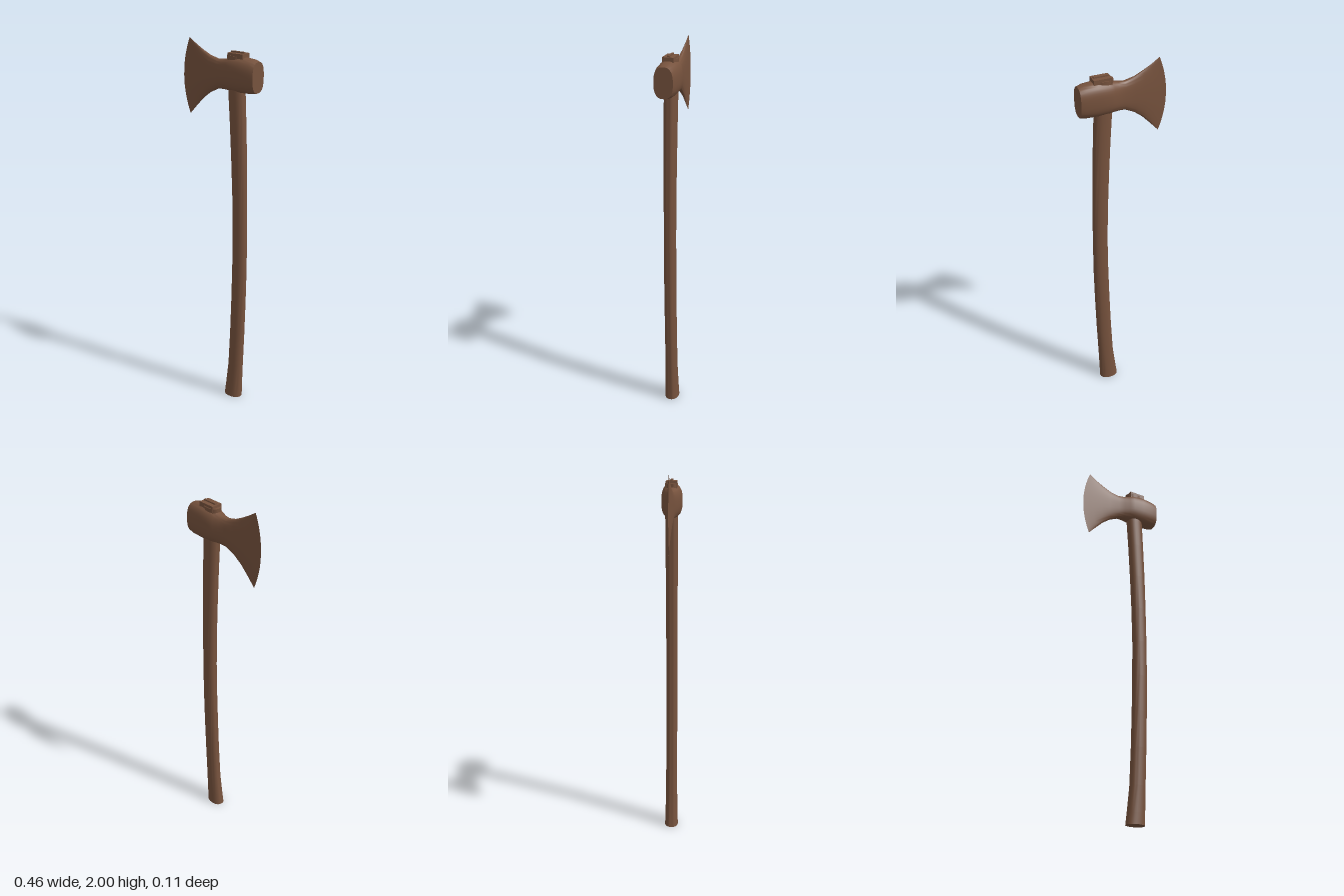
import * as THREE from 'three';
import { toCreasedNormals } from 'three/addons/utils/BufferGeometryUtils.js';

// Skin a list of closed rings and cap both ends.
function loft(rings) {
  const n = rings[0].length, pos = rings.flat(2), idx = [];
  const last = rings.length - 1;
  for (let i = 0; i < last; i++) {
    for (let j = 0; j < n; j++) {
      const k = (j + 1) % n, a = i * n + j, b = i * n + k;
      idx.push(a, a + n, b, b, a + n, b + n);
    }
  }
  for (const [r, flip] of [[0, false], [last, true]]) {
    const c = [0, 1, 2].map(d => rings[r].reduce((s, p) => s + p[d], 0) / n);
    const ci = pos.length / 3;
    pos.push(...c);
    for (let j = 0; j < n; j++) {
      const a = r * n + j, b = r * n + (j + 1) % n;
      idx.push(ci, flip ? b : a, flip ? a : b);
    }
  }
  const g = new THREE.BufferGeometry();
  g.setAttribute('position', new THREE.Float32BufferAttribute(pos, 3));
  g.setIndex(idx);
  return toCreasedNormals(g, 0.7);
}

// Points (u, v) of a unit superellipse.
function superellipse(count, power) {
  const f = v => Math.sign(v) * Math.abs(v) ** (2 / power);
  return Array.from({ length: count }, (_, i) => {
    const a = i / count * Math.PI * 2;
    return [f(Math.cos(a)), f(Math.sin(a))];
  });
}

export function createModel() {
  const group = new THREE.Group();
  const brown = new THREE.MeshStandardMaterial({ color: 0x76523d });
  brown.name = 'brown';
  const add = (name, geometry) => {
    const mesh = new THREE.Mesh(geometry, brown);
    mesh.name = name;
    group.add(mesh);
    return mesh;
  };

  // Curved handle: y, left x, right x, half depth
  const oval = superellipse(28, 2.2);
  const handle = [
    [0, 0.042, 0.146, 0.037], [0.06, 0.05, 0.147, 0.035], [0.2, 0.066, 0.152, 0.032],
    [0.4, 0.076, 0.16, 0.031], [0.6, 0.083, 0.166, 0.031], [0.8, 0.088, 0.17, 0.031],
    [1.0, 0.09, 0.17, 0.031], [1.2, 0.086, 0.168, 0.031], [1.4, 0.078, 0.164, 0.032],
    [1.6, 0.068, 0.157, 0.033], [1.76, 0.058, 0.15, 0.034], [1.94, 0.05, 0.145, 0.034],
  ];
  add('handle', loft(handle.map(([y, l, r, d]) =>
    oval.map(([u, v]) => [(l + r) / 2 + u * (r - l) / 2, y, v * d]))));

  // Axe head: x, bottom y, top y, half thickness, forward bulge of the edge
  const section = superellipse(40, 2.6);
  const head = [
    [-0.192, 1.607, 2.0, 0.002, 0.039], [-0.15, 1.653, 1.972, 0.008, 0.026],
    [-0.105, 1.7, 1.946, 0.014, 0.015], [-0.06, 1.735, 1.924, 0.019, 0.006],
    [-0.01, 1.76, 1.911, 0.025, 0], [0.025, 1.764, 1.914, 0.035, 0],
    [0.055, 1.763, 1.922, 0.045, 0], [0.08, 1.762, 1.93, 0.053, 0],
    [0.14, 1.759, 1.936, 0.056, 0], [0.2, 1.761, 1.93, 0.054, 0],
    [0.23, 1.767, 1.921, 0.049, 0],
  ];
  add('axeHead', loft(head.map(([x, lo, hi, t, bulge]) =>
    section.map(([u, v]) => [x - bulge * (1 - v * v), (lo + hi) / 2 + v * (hi - lo) / 2, u * t]))));

  // Wedge block and the narrow wedge driven into it
  add('wedgeBlock', new THREE.BoxGeometry(0.092, 0.06, 0.058)).position.set(0.111, 1.923, 0);
  add('wedge', new THREE.BoxGeometry(0.078, 0.04, 0.012)).position.set(0.111, 1.94, 0);
  return group;
}
